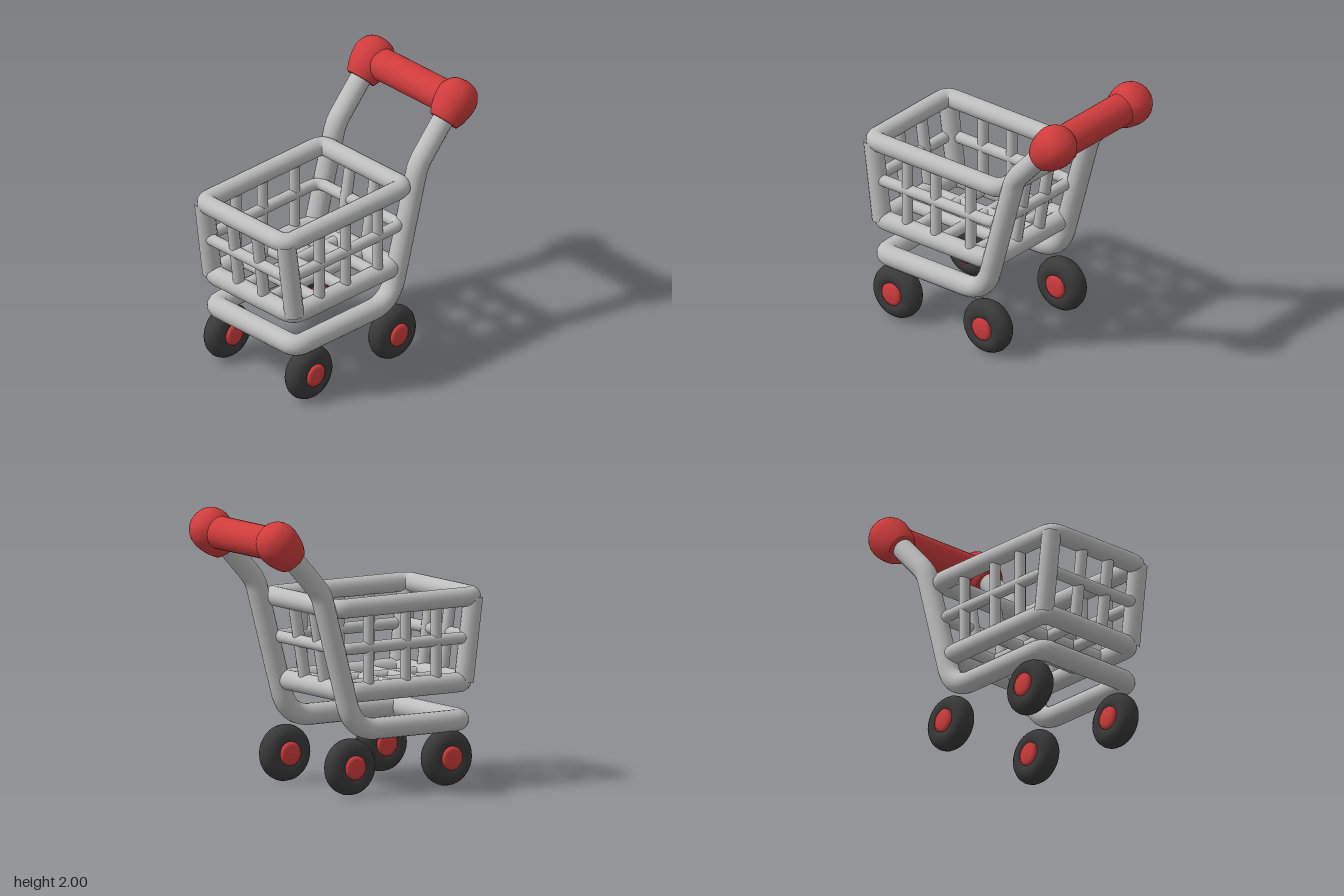
import * as THREE from 'three';

const metal = new THREE.MeshStandardMaterial({ color: 0xbebebe });
metal.name = 'light grey metal';
const red = new THREE.MeshStandardMaterial({ color: 0xd03c3c });
red.name = 'red plastic';
const rubber = new THREE.MeshStandardMaterial({ color: 0x3a3a3a });
rubber.name = 'dark rubber';

const V = (x, y, z) => new THREE.Vector3(x, y, z);

function add(parent, name, geometry, material) {
  const mesh = new THREE.Mesh(geometry, material);
  mesh.name = name;
  parent.add(mesh);
  return mesh;
}

// Straight runs joined by rounded corners; bends[i] is the cut-back at point i
function roundedPath(points, bends, closed) {
  const n = points.length;
  const path = new THREE.CurvePath();
  const corners = points.map((p, i) => {
    if (!closed && (i === 0 || i === n - 1)) return [p, p];
    const toward = (q) => p.clone().add(q.clone().sub(p).setLength(bends[i]));
    return [toward(points[(i + n - 1) % n]), toward(points[(i + 1) % n])];
  });
  for (let i = 0; i < n; i++) {
    const [a, b] = corners[i];
    if (a !== b) path.add(new THREE.QuadraticBezierCurve3(a, points[i], b));
    if (closed || i < n - 1) path.add(new THREE.LineCurve3(b, corners[(i + 1) % n][0]));
  }
  return path;
}

function bar(parent, name, a, b, r) {
  return add(parent, name, new THREE.TubeGeometry(new THREE.LineCurve3(a, b), 1, r, 14), metal);
}

// Horizontal rectangular loop of tube
function rim(parent, name, x, y, front, back, r) {
  const pts = [V(x, y, front), V(x, y, back), V(-x, y, back), V(-x, y, front)];
  const path = roundedPath(pts, [0.08, 0.08, 0.08, 0.08], true);
  add(parent, name, new THREE.TubeGeometry(path, 160, r, 16, true), metal);
}

export function createModel() {
  const cart = new THREE.Group();
  cart.name = 'shoppingCart';
  const X = 0.415;

  // One continuous bent tube: uprights, lower rails and front crossbar
  const side = [[1.81, -0.755], [1.46, -0.435], [0.46, -0.16], [0.46, 0.765]];
  const framePoints = [
    ...side.map(([y, z]) => V(X, y, z)),
    ...side.slice().reverse().map(([y, z]) => V(-X, y, z)),
  ];
  const framePath = roundedPath(framePoints, [0, 0.07, 0.19, 0.08, 0.08, 0.19, 0.07, 0], false);
  add(cart, 'frame', new THREE.TubeGeometry(framePath, 300, 0.077, 18), metal);

  // Basket rims
  const basket = new THREE.Group();
  basket.name = 'basket';
  cart.add(basket);
  const top = 1.335, low = 0.73;
  rim(basket, 'topRim', 0.42, top, 0.87, -0.305, 0.07);
  rim(basket, 'middleRail', 0.42, 1.045, 0.84, -0.265, 0.043);
  rim(basket, 'bottomRim', 0.415, low, 0.79, -0.2, 0.072);

  for (const s of [-1, 1]) {
    // Corner posts and side bars
    bar(basket, 'frontPost', V(s * 0.415, low, 0.78), V(s * 0.415, top, 0.86), 0.07);
    for (const z of [0.54, 0.28, -0.035]) {
      bar(basket, 'sideBar', V(s * 0.42, low, z), V(s * 0.42, top, z), 0.04);
    }
    // Front, back and floor bars
    bar(basket, 'frontBar', V(s * 0.125, low, 0.79), V(s * 0.125, top, 0.87), 0.043);
    bar(basket, 'backBar', V(s * 0.125, low, -0.2), V(s * 0.125, top, -0.305), 0.043);
    bar(basket, 'floorLongBar', V(s * 0.125, low, -0.2), V(s * 0.125, low, 0.79), 0.045);
  }
  for (const z of [-0.04, 0.26, 0.51]) {
    bar(basket, 'floorCrossBar', V(-0.415, low, z), V(0.415, low, z), 0.045);
  }

  // Handle grip with rounded end caps that sleeve the uprights
  const handle = new THREE.Group();
  handle.name = 'handle';
  handle.position.set(0, 1.834, -0.795);
  cart.add(handle);
  const grip = add(handle, 'grip', new THREE.CylinderGeometry(0.118, 0.118, 0.84, 24), red);
  grip.rotation.z = Math.PI / 2;
  const capProfile = new THREE.SplineCurve([
    [0.105, -0.16], [0.13, -0.1], [0.147, -0.01], [0.143, 0.06],
    [0.11, 0.125], [0.06, 0.158], [0, 0.168],
  ].map(([r, y]) => new THREE.Vector2(r, y))).getPoints(18);
  capProfile[capProfile.length - 1].x = 0;
  capProfile.unshift(new THREE.Vector2(0, -0.16), new THREE.Vector2(0.1, -0.16));
  for (const s of [-1, 1]) {
    const cap = add(handle, 'handleEnd', new THREE.LatheGeometry(capProfile, 24), red);
    cap.position.x = s * 0.42;
    cap.rotation.x = -0.78;
    cap.scale.z = 1.06;
  }

  // Wheels: fat tyre with a slightly domed hub showing on both faces
  const tyre = new THREE.TorusGeometry(0.122, 0.081, 16, 32).rotateY(Math.PI / 2);
  const hubProfile = [[0, -0.095], [0.06, -0.093], [0.086, -0.08], [0.086, 0.08], [0.06, 0.093], [0, 0.095]]
    .map(([r, y]) => new THREE.Vector2(r, y));
  const hub = new THREE.LatheGeometry(hubProfile, 20).rotateZ(Math.PI / 2);
  for (const s of [-1, 1]) {
    for (const z of [0.635, -0.187]) {
      const wheel = new THREE.Group();
      wheel.name = z > 0 ? 'frontWheel' : 'backWheel';
      wheel.position.set(s * 0.41, 0.204, z);
      add(wheel, 'tyre', tyre, rubber);
      add(wheel, 'hub', hub, red);
      cart.add(wheel);
    }
  }
  return cart;
}
